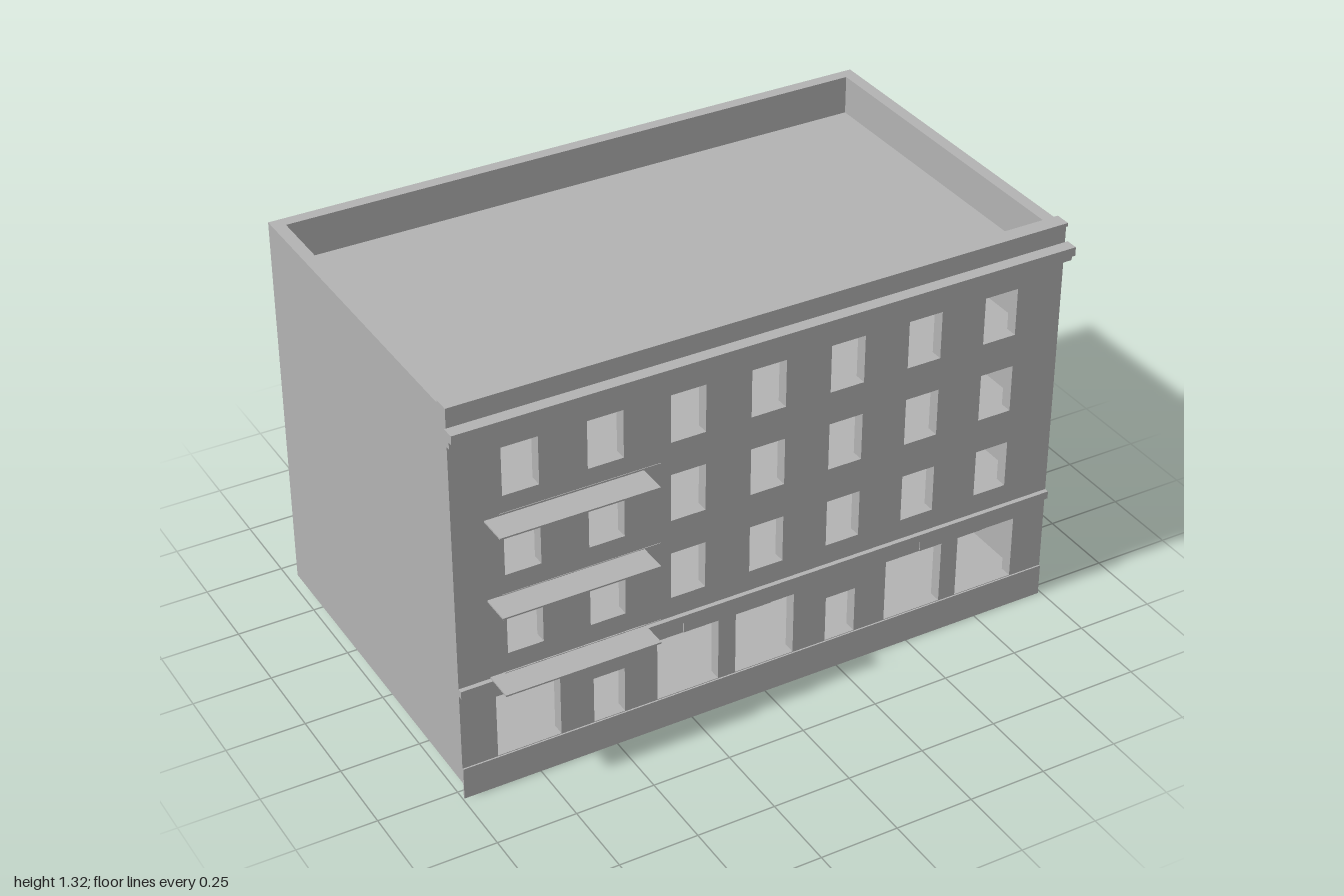
import * as THREE from 'three';

export function createModel() {
  const model = new THREE.Group();
  model.name = 'building';
  const plaster = new THREE.MeshStandardMaterial({ color: 0xb3b3b3 });
  plaster.name = 'plain grey';

  const add = (name, geometry) => {
    const mesh = new THREE.Mesh(geometry, plaster);
    mesh.name = name;
    model.add(mesh);
    return mesh;
  };
  // Box given by its lower and upper limits on each axis
  const box = (name, x0, x1, y0, y1, z0, z1) =>
    add(name, new THREE.BoxGeometry(x1 - x0, y1 - y0, z1 - z0)
      .translate((x0 + x1) / 2, (y0 + y1) / 2, (z0 + z1) / 2));
  const rect = (path, x0, x1, y0, y1) => {
    path.moveTo(x0, y0);
    path.lineTo(x1, y0);
    path.lineTo(x1, y1);
    path.lineTo(x0, y1);
    path.closePath();
    return path;
  };

  const L = -0.995, R = 0.99, BOTTOM = 0.052, TOP = 1.304;
  const FRONT = 0.53, BACK = -0.626, T = 0.039;
  const columns = [-0.783, -0.522, -0.262, -0.003, 0.257, 0.517, 0.778];
  const rows = [[0.455, 0.61], [0.722, 0.877], [0.984, 1.139]];

  // Upper windows are shared by the front and back walls
  const upper = rows.flatMap(([y0, y1]) => columns.map(x => [x - 0.056, x + 0.056, y0, y1]));
  const shops = [[-0.882, -0.679], [-0.364, -0.16], [-0.102, 0.096], [0.417, 0.615], [0.674, 0.877]]
    .map(([a, b]) => [a, b, 0.107, 0.318]);
  const doors = [[-0.572, -0.471], [0.208, 0.31]].map(([a, b]) => [a, b, 0.107, 0.262]);
  const backGround = columns.map(x => [x - 0.052, x + 0.052, 0.107, 0.262]);

  const wall = (name, openings, z, depth) => {
    const shape = rect(new THREE.Shape(), L, R, BOTTOM, TOP);
    for (const o of openings) shape.holes.push(rect(new THREE.Path(), ...o));
    add(name, new THREE.ExtrudeGeometry(shape, { depth, bevelEnabled: false }).translate(0, 0, z));
  };
  wall('frontWall', [...upper, ...shops, ...doors], FRONT - T, T);
  wall('backWall', [...upper, ...backGround], BACK, T);
  box('rightWall', L, L + T, BOTTOM, TOP, BACK + T, FRONT - T);
  box('leftWall', R - T, R, BOTTOM, TOP, BACK + T, FRONT - T);

  // Floors, roof and the inner partition behind the windows
  const inside = [L + T, R - T];
  box('groundSlab', ...inside, 0.028, 0.06, BACK + T, FRONT - T);
  for (const y of [0.393, 0.657, 0.922]) box('floor', ...inside, y - 0.024, y, BACK + T, FRONT - T);
  box('roof', ...inside, 1.156, 1.18, BACK + T, FRONT - T);
  box('partition', ...inside, 0.06, 1.156, -0.07, -0.03);

  // Facade trim
  box('parapetCap', L - 0.002, R + 0.002, TOP, 1.315, 0.485, 0.535);
  box('corniceUpper', -1, 1, 1.222, 1.25, FRONT, 0.57);
  box('corniceLower', -1, 1, 1.2, 1.222, FRONT, 0.555);
  box('stringCourse', L, R, 0.363, 0.388, FRONT, 0.545);
  box('plinth', L, R, 0, 0.105, FRONT, 0.535);
  for (const [a, b] of [[-0.278, 0.016], [0.535, 0.76]]) box('fasciaPanel', a, b, 0.319, 0.363, FRONT, 0.533);

  // Balconies with a slim handrail above each slab
  for (const y of [0.393, 0.657, 0.922]) {
    box('balconySlab', -0.896, -0.404, y - 0.005, y, FRONT, 0.626);
    box('handrail', -0.896, -0.404, y + 0.077, y + 0.079, 0.624, 0.626);
  }
  return model;
}
